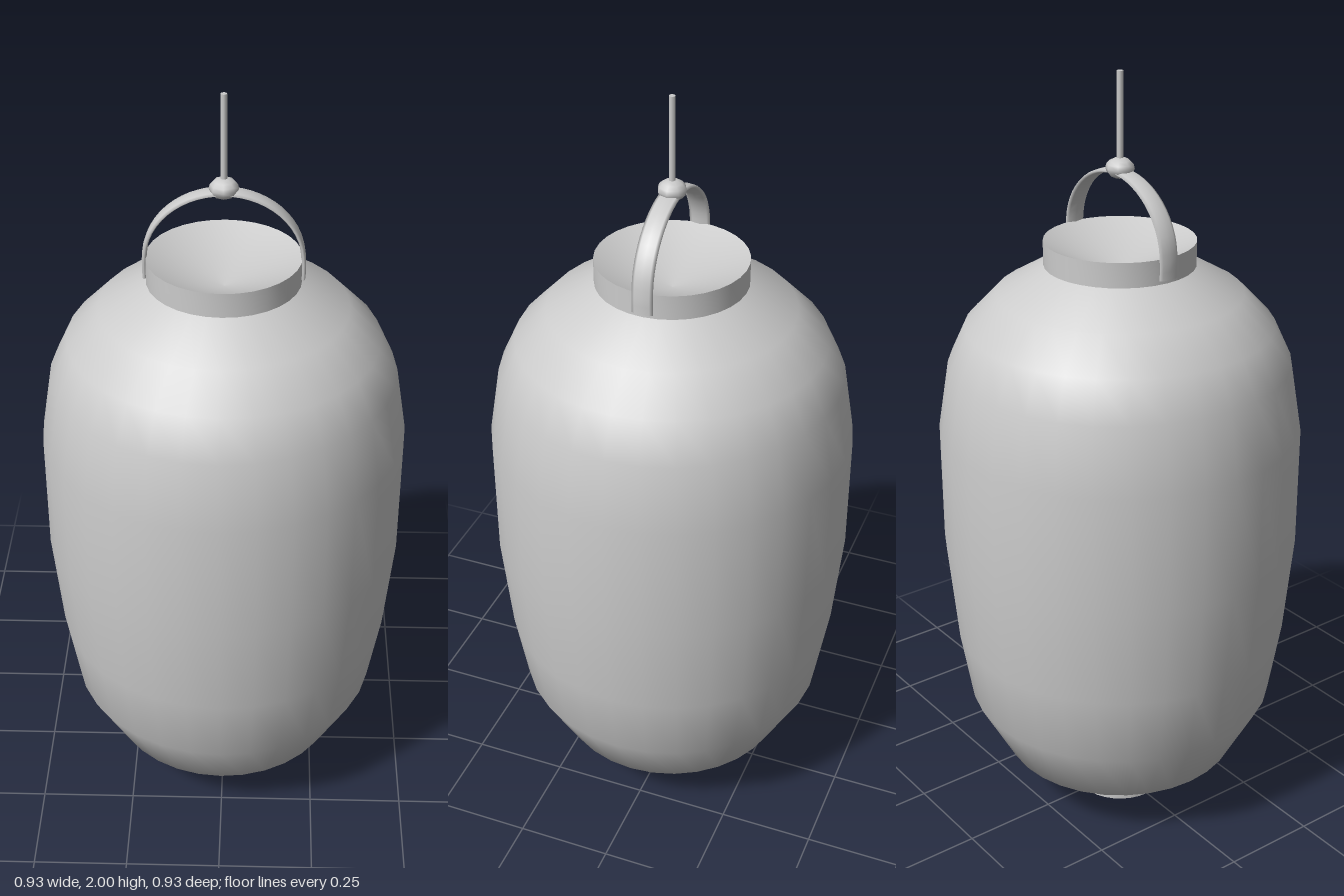
import * as THREE from 'three';
import { toCreasedNormals } from 'three/addons/utils/BufferGeometryUtils.js';

export function createModel() {
  const model = new THREE.Group();
  model.name = 'hangingLantern';
  const material = new THREE.MeshStandardMaterial({ color: 0xcccccc, side: THREE.DoubleSide });

  const add = (name, geometry, y = 0) => {
    const mesh = new THREE.Mesh(geometry, material);
    mesh.name = name;
    mesh.position.y = y;
    model.add(mesh);
  };
  const lathe = (points) =>
    new THREE.LatheGeometry(points.map(([r, y]) => new THREE.Vector2(r, y)), 32);

  // Paper shade: a rounded barrel, slightly narrower below
  add('shade', lathe([
    [0.125, 0.065], [0.315, 0.152], [0.408, 0.325], [0.44, 0.52], [0.464, 0.785],
    [0.464, 1.1], [0.435, 1.275], [0.39, 1.372], [0.31, 1.455], [0.19, 1.525],
  ]));

  // Base ring, closed underneath
  add('base', new THREE.CylinderGeometry(0.125, 0.125, 0.07, 32), 0.035);

  // Top collar with a sunken conical lid
  add('collar', toCreasedNormals(lathe([[0.19, 1.522], [0.19, 1.588], [0, 1.505]]), 0.8));

  // Handle: a flat strap bent into an arch with short straight legs
  const arch = [new THREE.Vector3(-0.192, 1.535, 0)];
  for (let i = 0; i <= 12; i++) {
    const a = Math.PI * (1 - i / 12);
    arch.push(new THREE.Vector3(0.192 * Math.cos(a), 1.58 + 0.177 * Math.sin(a), 0));
  }
  arch.push(new THREE.Vector3(0.192, 1.535, 0));
  const strap = new THREE.TubeGeometry(new THREE.CatmullRomCurve3(arch), 32, 0.006, 8);
  strap.scale(1, 1, 4.5);
  add('handle', strap);

  // Knot and hanging cord
  const knot = new THREE.SphereGeometry(0.036, 8, 8);
  knot.scale(1, 0.72, 1);
  add('knot', knot, 1.766);
  add('cord', new THREE.CylinderGeometry(0.008, 0.008, 0.24, 8), 1.88);

  return model;
}
